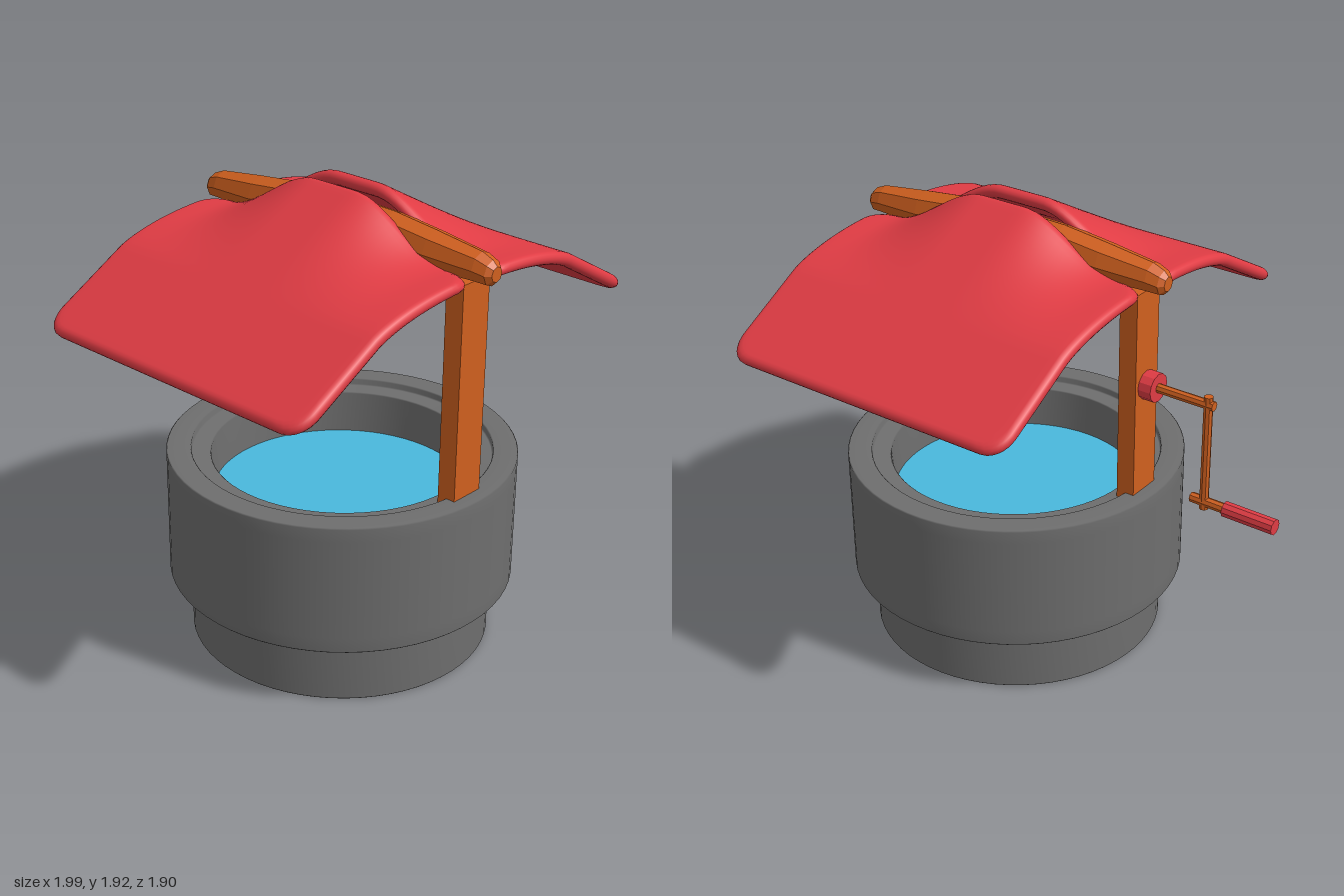
import * as THREE from 'three';
import { mergeVertices } from 'three/addons/utils/BufferGeometryUtils.js';

const CX = 0.255; // centre line of the well, offset to balance the crank
const mat = (color, flatShading = false) => new THREE.MeshStandardMaterial({ color, flatShading });
const stone = mat(0x6e6e6e);
const red = mat(0xe03c44);
const redFlat = mat(0xe03c44, true);
const wood = mat(0xd0601f, true);
const water = mat(0x4ab8dc);

function add(parent, name, geometry, material, x = 0, y = 0, z = 0) {
  const mesh = new THREE.Mesh(geometry, material);
  mesh.name = name;
  mesh.position.set(x, y, z);
  parent.add(mesh);
  return mesh;
}

// Horizontal rod from x0 to x1
function rod(parent, name, x0, x1, y, r, material, sides = 8) {
  const g = new THREE.CylinderGeometry(r, r, x1 - x0, sides).rotateZ(Math.PI / 2);
  return add(parent, name, g, material, (x0 + x1) / 2, y);
}

// Ridge beam: an eight-sided bar threaded through stations of [x, y, radius]
function beamGeometry() {
  const half = [[-0.735, 1.745, 0.03], [-0.715, 1.745, 0.05], [-0.665, 1.755, 0.06],
    [-0.45, 1.765, 0.078], [-0.25, 1.785, 0.08]];
  const stations = [...half, [0, 1.79, 0.08], ...half.map(([x, y, r]) => [-x, y, r]).reverse()];
  const n = stations.length - 1;
  const g = new THREE.CylinderGeometry(1, 1, 1, 8, n).rotateZ(-Math.PI / 2);
  const p = g.attributes.position;
  for (let i = 0; i < p.count; i++) {
    const [x, y, r] = stations[Math.round((p.getX(i) + 0.5) * n)];
    p.setXYZ(i, x, y + p.getY(i) * r, p.getZ(i) * r);
  }
  g.computeVertexNormals();
  return g;
}

// Sagging roof sheet: a rounded slab bent over a slope that bulges at mid ridge
function roofGeometry() {
  const hx = 0.67, hz = 0.4525, ht = 0.027, corner = 0.09;
  let g = new THREE.BoxGeometry(hx * 2, ht * 2, hz * 2, 44, 8, 32);
  g.deleteAttribute('normal');
  g.deleteAttribute('uv');
  g = mergeVertices(g);
  const p = g.attributes.position;
  for (let i = 0; i < p.count; i++) {
    let x = p.getX(i), z = p.getZ(i);
    const f = Math.max(-1, Math.min(1, p.getY(i) / ht));
    // round the four corners of the outline
    const qx = Math.max(0, Math.abs(x) - hx + corner), qz = Math.max(0, Math.abs(z) - hz + corner);
    if (qx > 0 && qz > 0) {
      const s = Math.max(qx, qz) / Math.hypot(qx, qz);
      x = Math.sign(x) * (hx - corner + qx * s);
      z = Math.sign(z) * (hz - corner + qz * s);
    }
    // round the rim
    const angle = f * Math.PI / 2, inset = ht * (1 - Math.cos(angle)), off = ht * Math.sin(angle);
    x *= 1 - inset / hx;
    z = z * (1 - inset / hz) + 0.04 + hz;
    // slope, with both ends of the ridge sagging
    const sag = THREE.MathUtils.smoothstep(Math.abs(x), 0.1, 0.56);
    const fall = Math.pow(Math.min(1, Math.max(0, 1 - (z - 0.05) / 0.5)), 1.4);
    const y = 1.9 - 0.56 * (z - 0.06) - 0.2 * sag * fall;
    p.setXYZ(i, x, y + off * 0.87, z + off * 0.49);
  }
  g.computeVertexNormals();
  return g;
}

export function createModel() {
  const root = new THREE.Group();
  root.name = 'well';

  // Stone base, wide drum and stepped rim
  const profile = [[0, 0], [0.615, 0], [0.62, 0.005], [0.62, 0.27], [0.62, 0.275],
    [0.705, 0.275], [0.71, 0.28], [0.71, 0.34], [0.71, 0.76], [0.71, 0.815], [0.705, 0.82],
    [0.615, 0.82], [0.61, 0.815], [0.61, 0.795], [0.605, 0.79], [0.535, 0.79], [0.53, 0.785],
    [0.52, 0.55]].map(([x, y]) => new THREE.Vector2(x, y));
  add(root, 'stoneWall', new THREE.LatheGeometry(profile, 64), stone, CX);
  add(root, 'water', new THREE.CircleGeometry(0.525, 64).rotateX(-Math.PI / 2), water, CX, 0.61);

  // Posts and ridge beam
  for (const s of [-1, 1]) {
    add(root, s < 0 ? 'rightPost' : 'leftPost', new THREE.BoxGeometry(0.08, 1.0, 0.15), wood, CX + s * 0.608, 1.2);
  }
  add(root, 'ridgeBeam', beamGeometry(), wood, CX);

  // Two roof sheets, the back one turned around
  const roof = roofGeometry();
  add(root, 'frontRoof', roof, red, CX);
  add(root, 'backRoof', roof, red, CX, 0, -0.005).rotation.y = Math.PI;

  // Crank
  const crank = new THREE.Group();
  crank.name = 'crank';
  root.add(crank);
  rod(crank, 'crankBoss', -0.45, -0.385, 1.295, 0.06, redFlat, 12);
  rod(crank, 'crankAxle', -0.705, -0.44, 1.295, 0.02, wood);
  add(crank, 'crankArm', new THREE.CylinderGeometry(0.019, 0.019, 0.5, 8), wood, -0.678, 1.08);
  rod(crank, 'handleRod', -0.79, -0.62, 0.862, 0.021, wood);
  rod(crank, 'handleGrip', -1, -0.775, 0.862, 0.033, redFlat, 10);
  return root;
}
